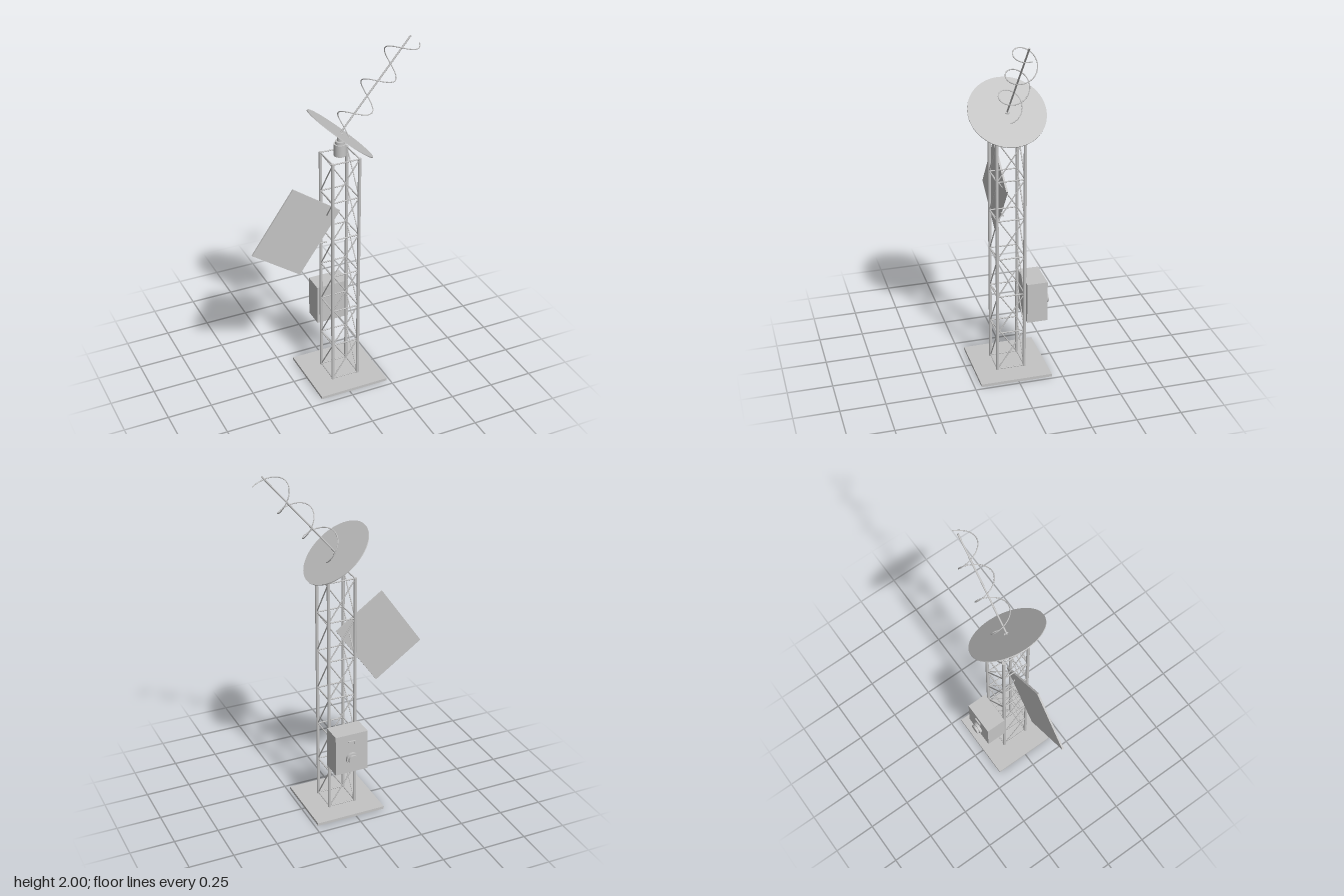
import * as THREE from 'three';

export function createModel() {
  const model = new THREE.Group();
  const grey = new THREE.MeshStandardMaterial({ color: 0xc4c4c4 });
  grey.name = 'metal grey';
  const CX = 0.03, CZ = 0.011; // tower axis
  const up = new THREE.Vector3(0, 1, 0);

  function add(parent, name, geometry, x = 0, y = 0, z = 0) {
    const mesh = new THREE.Mesh(geometry, grey);
    mesh.name = name;
    mesh.position.set(x, y, z);
    parent.add(mesh);
    return mesh;
  }
  // Round bar between two points
  function bar(parent, name, a, b, r, sides = 8) {
    const p = new THREE.Vector3(...a), q = new THREE.Vector3(...b);
    const mesh = add(parent, name, new THREE.CylinderGeometry(r, r, p.distanceTo(q), sides));
    mesh.position.copy(p).lerp(q, 0.5);
    mesh.quaternion.setFromUnitVectors(up, q.sub(p).normalize());
  }
  function group(name, x = 0, y = 0, z = 0) {
    const g = new THREE.Group();
    g.name = name;
    g.position.set(x, y, z);
    model.add(g);
    return g;
  }

  // Base plate
  add(model, 'basePlate', new THREE.BoxGeometry(0.404, 0.016, 0.404), CX, 0.008, CZ);

  // Lattice tower: four posts, with rungs and one diagonal per bay on each side
  const tower = group('tower', CX, 0, CZ);
  const H = 0.077, BOTTOM = 0.02, STEP = 0.2292, LEVELS = 6;
  for (let side = 0; side < 4; side++) {
    const face = new THREE.Group();
    face.name = 'towerSide';
    face.rotation.y = side * Math.PI / 2;
    tower.add(face);
    bar(face, 'post', [H, 0.012, H], [H, 1.4, H], 0.009, 12);
    for (let i = 0; i <= LEVELS; i++) {
      const y = BOTTOM + i * STEP;
      bar(face, 'rung', [-H, y, H], [H, y, H], 0.0038);
      if (i < LEVELS) bar(face, 'brace', [-H, y, H], [H, y + STEP, H], 0.0034);
    }
  }

  // Swivel mount on top of the tower
  const mount = group('swivelMount', CX, 0, CZ);
  add(mount, 'mountBody', new THREE.CylinderGeometry(0.034, 0.034, 0.067, 32), 0, 1.434, 0);
  add(mount, 'mountCollar', new THREE.CylinderGeometry(0.026, 0.026, 0.016, 32), 0, 1.475, 0);
  add(mount, 'mountNeck', new THREE.CylinderGeometry(0.015, 0.015, 0.046, 20), 0, 1.501, 0);

  // Tilted antenna: flat reflector, boom and helical wire
  const antenna = group('antenna', CX, 1.525, CZ);
  antenna.rotation.z = -THREE.MathUtils.degToRad(40);
  add(antenna, 'reflectorDisc', new THREE.CylinderGeometry(0.209, 0.209, 0.005, 64));
  bar(antenna, 'boom', [0, 0, 0], [0, 0.617, 0], 0.0046, 12);
  const TURNS = 3, points = [];
  for (let i = 0; i <= TURNS * 24; i++) {
    const a = i / 24 * Math.PI * 2;
    points.push(new THREE.Vector3(0.071 * Math.cos(a), 0.612 * i / (TURNS * 24), -0.071 * Math.sin(a)));
  }
  add(antenna, 'helixWire', new THREE.TubeGeometry(new THREE.CatmullRomCurve3(points), 216, 0.0029, 8));

  // Tilted side panel and its bracket
  const panel = add(model, 'sidePanel', new THREE.BoxGeometry(0.33, 0.418, 0.01), -0.225, 0.991, CZ);
  panel.rotation.z = -THREE.MathUtils.degToRad(35);
  bar(model, 'panelBracket', [-0.11, 0.89, CZ], [CX - H, 0.89, CZ], 0.0045);

  // Equipment box on the back, with dial and handle
  const box = group('equipmentBox', CX, 0, 0);
  add(box, 'boxBody', new THREE.BoxGeometry(0.19, 0.238, 0.116), 0, 0.421, -0.135);
  const dial = add(box, 'dialBase', new THREE.CylinderGeometry(0.035, 0.035, 0.016, 32), 0, 0.392, -0.2);
  const knob = add(box, 'dialKnob', new THREE.CylinderGeometry(0.027, 0.027, 0.016, 32), 0, 0.392, -0.214);
  dial.rotation.x = knob.rotation.x = Math.PI / 2;
  add(box, 'handleBar', new THREE.BoxGeometry(0.045, 0.006, 0.01), 0, 0.498, -0.196);
  add(box, 'handleLeg', new THREE.BoxGeometry(0.006, 0.024, 0.01), -0.02, 0.489, -0.196);

  return model;
}
